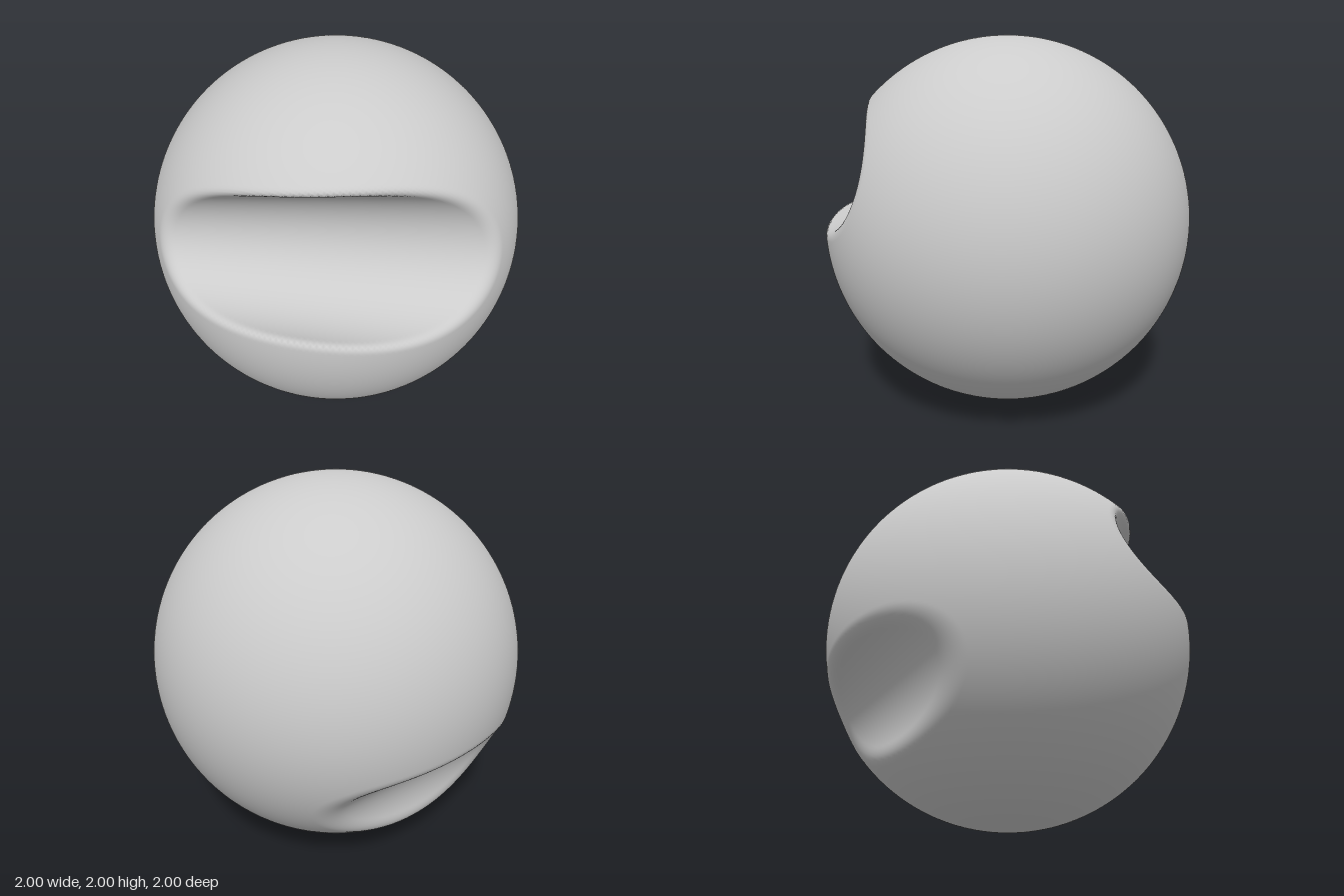
import * as THREE from 'three';
import { mergeVertices } from 'three/addons/utils/BufferGeometryUtils.js';

const V = (x, y, z) => new THREE.Vector3(x, y, z);

// Tapered round cutters: axis origin, axis direction, radius at origin, taper
const outward = V(-0.67, -0.49, -0.55).normalize();
const along = V(-0.657, 0.03, 0.753);
along.addScaledVector(outward, -along.dot(outward)).normalize();
const cutters = [
  { o: V(0, 0.345, 0.88), u: V(1, 0.02, -0.27).normalize(), r: 0.315, taper: 0.063 },
  { o: outward.clone().multiplyScalar(1.248).addScaledVector(along, -0.04), u: along, r: 0.4, taper: 0.085 },
];
const frontDir = V(0.27, 0.36, 0.87).normalize();
const ROUND = 0.045; // softness of the groove rims

function cutterDistance(p, { o, u, r, taper }) {
  const x = p.x - o.x, y = p.y - o.y, z = p.z - o.z;
  const t = x * u.x + y * u.y + z * u.z;
  return Math.sqrt(Math.max(x * x + y * y + z * z - t * t, 0)) - (r + taper * t);
}

// Signed distance of the ball with both grooves softly carved away
function solid(p) {
  let d = p.length() - 1;
  for (const c of cutters) {
    const e = -cutterDistance(p, c);
    const h = Math.max(ROUND - Math.abs(d - e), 0) / ROUND;
    d = Math.max(d, e) + h * h * ROUND * 0.25;
  }
  return d;
}

const E = 1e-3, q = V(0, 0, 0);
function gradient(p, out) {
  for (const k of ['x', 'y', 'z']) {
    q.copy(p); q[k] += E;
    const a = solid(q);
    q[k] -= 2 * E;
    out[k] = (a - solid(q)) / (2 * E);
  }
  return out;
}

function carvedBall() {
  let geo = new THREE.IcosahedronGeometry(1, 80);
  geo.deleteAttribute('normal');
  geo.deleteAttribute('uv');
  geo = mergeVertices(geo, 1e-4);
  const pos = geo.attributes.position, index = geo.index.array, n = pos.count;
  const p = V(0, 0, 0), g = V(0, 0, 0), dir = V(0, 0, 0);

  // Press the surface inwards until it meets the carved solid
  const carved = new Uint8Array(n);
  for (let i = 0; i < n; i++) {
    p.fromBufferAttribute(pos, i).normalize();
    const w = THREE.MathUtils.smoothstep(p.dot(frontDir), 0.2, 0.6);
    dir.copy(p).lerp(frontDir, w).normalize();
    for (let s = 0; s < 80; s++) {
      const d = solid(p);
      if (d < 1e-4) break;
      carved[i] = 1;
      p.addScaledVector(dir, -Math.min(d * 0.8, 0.03));
    }
    pos.setXYZ(i, p.x, p.y, p.z);
  }

  // Widen the carved zone by a few rings, so relaxing blends into the ball
  for (let ring = 0; ring < 5; ring++) {
    const before = carved.slice();
    for (let f = 0; f < index.length; f += 3) {
      if (before[index[f]] || before[index[f + 1]] || before[index[f + 2]]) {
        for (let k = 0; k < 3; k++) carved[index[f + k]] = 1;
      }
    }
  }

  // Even out the mesh in the grooves, then drop it back on the surface
  const sum = new Float32Array(n * 3), count = new Uint16Array(n);
  for (let pass = 0; pass < 30; pass++) {
    sum.fill(0); count.fill(0);
    for (let f = 0; f < index.length; f += 3) {
      for (let k = 0; k < 3; k++) {
        const a = index[f + k], b = index[f + (k + 1) % 3];
        if (!carved[a]) continue;
        sum[a * 3] += pos.getX(b);
        sum[a * 3 + 1] += pos.getY(b);
        sum[a * 3 + 2] += pos.getZ(b);
        count[a]++;
      }
    }
    for (let i = 0; i < n; i++) {
      if (!carved[i]) continue;
      p.fromArray(sum, i * 3).divideScalar(count[i]);
      for (let s = 0; s < 2; s++) {
        const d = solid(p);
        gradient(p, g);
        p.addScaledVector(g, -THREE.MathUtils.clamp(d / Math.max(g.lengthSq(), 0.2), -0.04, 0.04));
      }
      pos.setXYZ(i, p.x, p.y, p.z);
    }
  }

  // Smooth normals from the surface itself
  const normals = new Float32Array(n * 3);
  for (let i = 0; i < n; i++) {
    gradient(p.fromBufferAttribute(pos, i), g).normalize().toArray(normals, i * 3);
  }
  geo.setAttribute('normal', new THREE.BufferAttribute(normals, 3));
  return geo;
}

export function createModel() {
  const group = new THREE.Group();
  group.name = 'groovedBall';
  const ball = new THREE.Mesh(carvedBall(), new THREE.MeshStandardMaterial({ color: 0xcccccc }));
  ball.name = 'ballWithFingerGrooves';
  ball.position.y = 1;
  group.add(ball);
  return group;
}
